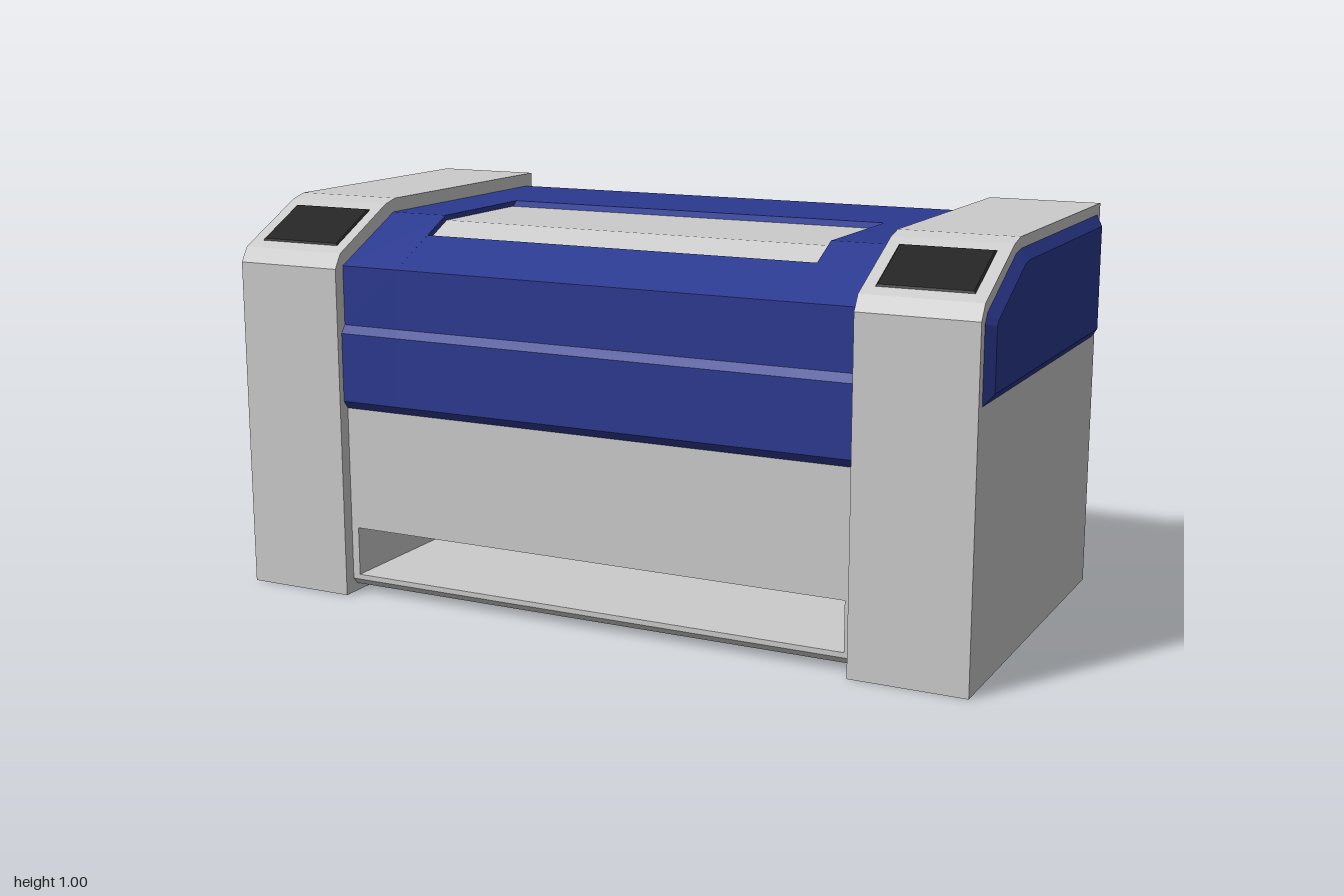
import * as THREE from 'three';

const GREY = new THREE.MeshStandardMaterial({ color: 0xcccccc, flatShading: true });
const BLUE = new THREE.MeshStandardMaterial({ color: 0x2b3990, flatShading: true });
const DARK = new THREE.MeshStandardMaterial({ color: 0x222222, flatShading: true });

// Extrude a [z, y] outline along x, from x0 to x1
function slab(name, outline, x0, x1, material, bevel = {}) {
  const shape = new THREE.Shape(outline.map(([z, y]) => new THREE.Vector2(z, y)));
  const geometry = new THREE.ExtrudeGeometry(shape, { depth: x1 - x0, bevelEnabled: false, ...bevel });
  geometry.rotateY(-Math.PI / 2).translate(x1, 0, 0);
  const mesh = new THREE.Mesh(geometry, material);
  mesh.name = name;
  return mesh;
}

// Outline split in three along x, so the middle can carry a notch
function notched(name, plain, notch, outer, inner, material) {
  const group = new THREE.Group();
  group.name = name;
  group.add(
    slab(name + 'Right', plain, -outer, -inner, material),
    slab(name + 'Middle', notch, -inner, inner, material),
    slab(name + 'Left', plain, inner, outer, material));
  return group;
}

// Thin pad whose upper face is smaller than its base
function pad(name, width, thick, length, inset, material) {
  const geometry = new THREE.BoxGeometry(width, thick, length);
  const p = geometry.attributes.position;
  for (let i = 0; i < p.count; i++) {
    if (p.getY(i) < 0) continue;
    p.setX(i, p.getX(i) - Math.sign(p.getX(i)) * inset);
    p.setZ(i, p.getZ(i) - Math.sign(p.getZ(i)) * inset);
  }
  geometry.computeVertexNormals();
  const mesh = new THREE.Mesh(geometry, material);
  mesh.name = name;
  return mesh;
}

export function createModel() {
  const model = new THREE.Group();
  model.name = 'printer';

  // Grey body between the towers, with a paper slot low at the front
  const bodyBack = [[0.455, 0.5], [-0.42, 0.5], [-0.44, 0.94], [-0.458, 0.964], [-0.458, 0.04], [-0.435, 0.02]];
  const bodyFoot = [[0.44, 0.02], [0.455, 0.037]];
  const slot = [[0.455, 0.05], [0.1, 0.05], [0.1, 0.175], [0.455, 0.175]];
  model.add(notched('body', [...bodyFoot, ...bodyBack], [...bodyFoot, ...slot, ...bodyBack], 0.69, 0.67, GREY));

  // Blue lid with a sloping front, a step and a shallow window recess
  const lidFront = [[-0.4, 0.48], [0.44, 0.48], [0.455, 0.49], [0.47, 0.51], [0.47, 0.685],
    [0.455, 0.705], [0.455, 0.855]];
  const lidBack = [[-0.458, 0.965], [-0.44, 0.94]];
  const recess = [[0.31, 0.924], [0.295, 0.914], [0.22, 0.95], [-0.11, 0.95], [-0.13, 0.965]];
  model.add(notched('lid', [...lidFront, [0.225, 0.965], ...lidBack],
    [...lidFront, ...recess, ...lidBack], 0.69, 0.53, BLUE));

  // Grey window bent over the lid's edge
  model.add(slab('window', [[-0.11, 0.94], [0.215, 0.94], [0.295, 0.904], [0.295, 0.916],
    [0.22, 0.952], [-0.11, 0.952]], -0.53, 0.53, GREY));

  // Towers at both ends
  const tower = [[-0.487, 0], [0.487, 0], [0.487, 0.85], [0.464, 0.887], [0.26, 0.989], [0.216, 1], [-0.487, 1]];
  // Raised blue panel on the outer side of each tower
  const panel = [[-0.46, 0.66], [0.462, 0.66], [0.462, 0.842], [0.446, 0.865], [0.248, 0.966],
    [0.211, 0.973], [-0.46, 0.973]];
  const bevel = { bevelEnabled: true, bevelThickness: 0.02, bevelSize: 0.025, bevelOffset: -0.025, bevelSegments: 1 };
  for (const side of [1, -1]) {
    const prefix = side > 0 ? 'left' : 'right';
    const span = (a, b) => (side > 0 ? [a, b] : [-b, -a]);
    model.add(slab(prefix + 'Tower', tower, ...span(0.69, 0.98), GREY));
    model.add(slab(prefix + 'SidePanel', panel, ...span(0.96, 0.98), BLUE, bevel));

    // Dark display on the tower's slope
    const display = pad(prefix + 'Display', 0.245, 0.012, 0.182, 0.012, DARK);
    display.position.set(side * 0.834, 0.9365, 0.3605);
    display.rotation.x = Math.atan2(0.102, 0.204);
    model.add(display);
  }
  return model;
}
